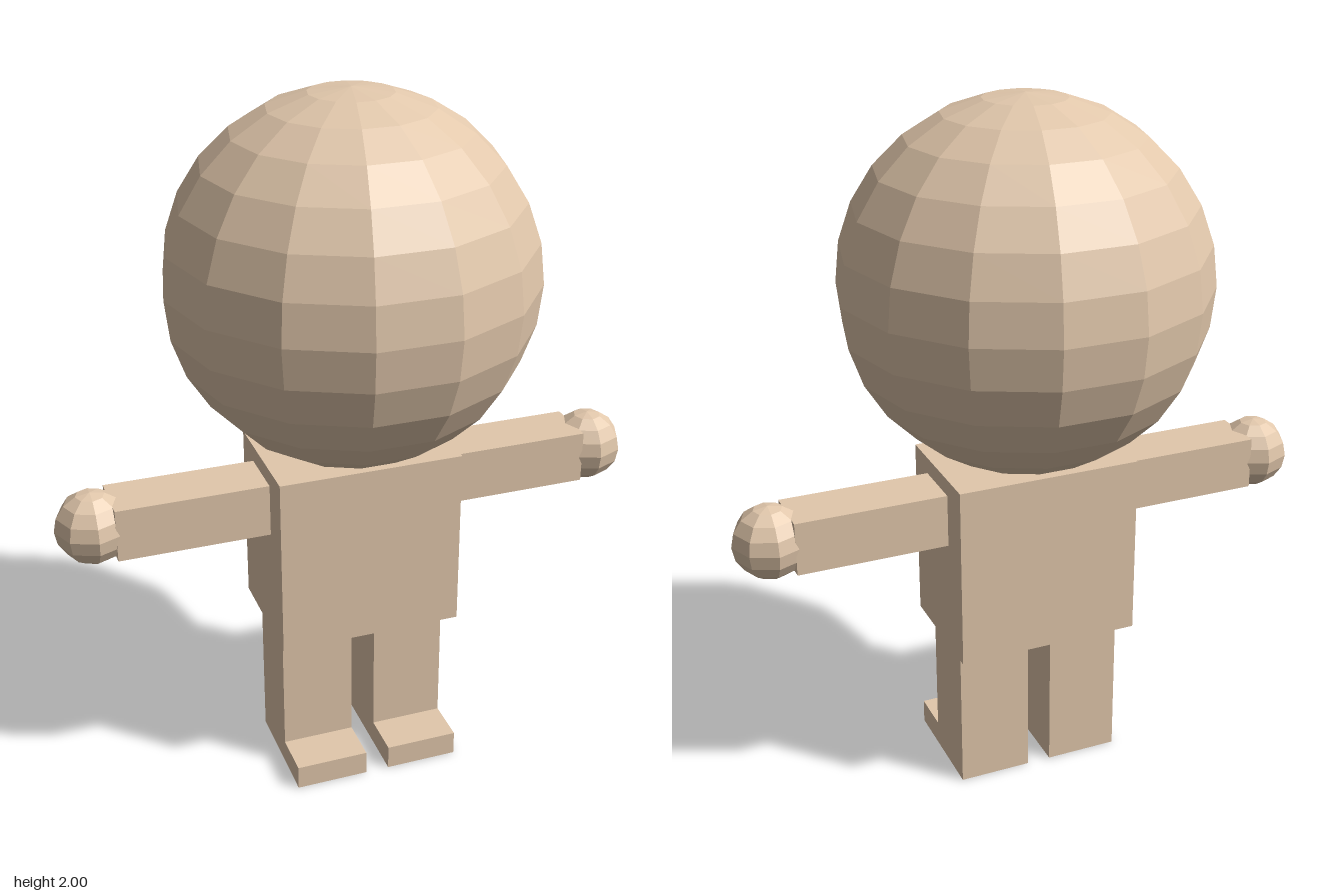
import * as THREE from 'three';

export function createModel() {
  const model = new THREE.Group();
  model.name = 'figure';
  const skin = new THREE.MeshStandardMaterial({ color: 0xe2c8ac, flatShading: true });

  function add(name, geometry, x, y, z = 0) {
    const mesh = new THREE.Mesh(geometry, skin);
    mesh.name = name;
    mesh.position.set(x, y, z);
    model.add(mesh);
    return mesh;
  }

  // Head and torso
  add('head', new THREE.SphereGeometry(0.515, 14, 14), 0, 1.485);
  add('torso', new THREE.BoxGeometry(0.533, 0.533, 0.356), 0, 0.718);

  // Leg with foot: an L-shaped side profile (z, y), extruded across the width
  const legWidth = 0.212;
  const profile = new THREE.Shape([
    [-0.104, 0], [0.234, 0], [0.234, 0.072], [0.104, 0.072], [0.104, 0.452], [-0.104, 0.452],
  ].map(([z, y]) => new THREE.Vector2(z, y)));
  const legGeometry = new THREE.ExtrudeGeometry(profile, { depth: legWidth, bevelEnabled: false });
  legGeometry.translate(0, 0, -legWidth / 2);
  legGeometry.rotateY(-Math.PI / 2);

  // Mirrored limbs
  const armGeometry = new THREE.BoxGeometry(0.438, 0.154, 0.16);
  const handGeometry = new THREE.SphereGeometry(0.105, 8, 8);
  for (const [side, s] of [['left', 1], ['right', -1]]) {
    add(side + 'Arm', armGeometry, s * 0.479, 0.859);
    add(side + 'Hand', handGeometry, s * 0.748, 0.859);
    add(side + 'Leg', legGeometry, s * 0.141, 0);
  }

  return model;
}
